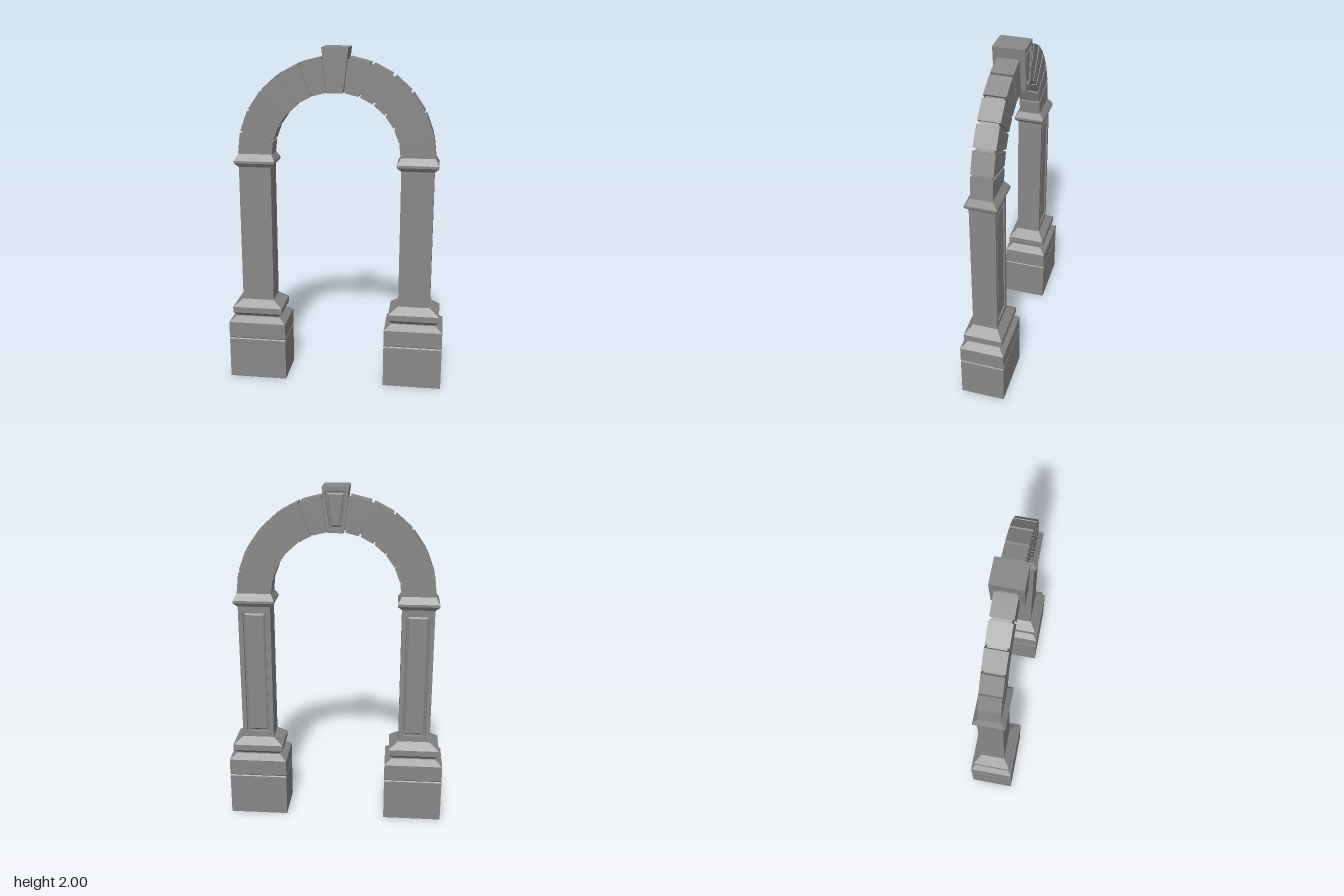
import * as THREE from 'three';

const material = new THREE.MeshStandardMaterial({ color: 0x888888, flatShading: true });

// Closed solid through a series of four-cornered rings, ordered counter-clockwise about the loft direction
function loft(name, rings) {
  const pos = [];
  const quad = (a, b, c, d) => pos.push(...a, ...b, ...c, ...a, ...c, ...d);
  for (let k = 0; k < rings.length - 1; k++) {
    const A = rings[k], B = rings[k + 1];
    for (let i = 0; i < 4; i++) {
      const j = (i + 1) % 4;
      quad(A[i], A[j], B[j], B[i]);
    }
  }
  quad(...[...rings[0]].reverse());
  quad(...rings[rings.length - 1]);
  const geometry = new THREE.BufferGeometry();
  geometry.setAttribute('position', new THREE.Float32BufferAttribute(pos, 3));
  geometry.computeVertexNormals();
  const mesh = new THREE.Mesh(geometry, material);
  mesh.name = name;
  return mesh;
}

// Stacked rectangular moulding; rows of [half width, half depth, y]
function moulding(name, rows) {
  return loft(name, rows.map(([w, d, y]) => [[-w, y, d], [w, y, d], [w, y, -d], [-w, y, -d]]));
}

// Trapezoid slab whose back face carries a sunken frame around a bevelled panel
function panelled(name, bottom, top, y0, y1, depth, insetX, insetY) {
  const ring = (s, z) => {
    const x = insetX + s, y = insetY + s;
    const slope = (top - bottom) / (y1 - y0);
    const b = bottom + slope * y - x, t = top - slope * y - x;
    return [[-b, y0 + y, z], [b, y0 + y, z], [t, y1 - y, z], [-t, y1 - y, z]];
  };
  const edge = z => [[-bottom, y0, z], [bottom, y0, z], [top, y1, z], [-top, y1, z]];
  const mesh = loft(name, [
    edge(-depth), edge(depth),
    ring(0, depth), ring(0.003, depth - 0.012),
    ring(0.008, depth - 0.012), ring(0.017, depth - 0.003),
  ]);
  mesh.rotation.y = Math.PI;
  return mesh;
}

// Wedge of the arch ring between two angles in degrees
const ARCH_Y = 1.38;
function wedge(name, a0, a1, rIn, rOut, depth) {
  const corner = (r, a, z) => {
    const t = THREE.MathUtils.degToRad(a);
    return [r * Math.cos(t), ARCH_Y + r * Math.sin(t), z];
  };
  const ring = z => [corner(rIn, a0, z), corner(rOut, a0, z), corner(rOut, a1, z), corner(rIn, a1, z)];
  return loft(name, [ring(-depth), ring(depth)]);
}

function createPillar(name, x) {
  const pillar = new THREE.Group();
  pillar.name = name;
  pillar.position.x = x;
  // Plinth with a shallow groove and sloped shoulder, then the base moulding
  pillar.add(moulding('plinth', [
    [0.173, 0.13, 0], [0.173, 0.13, 0.25], [0.168, 0.125, 0.256],
    [0.173, 0.13, 0.262], [0.173, 0.13, 0.358], [0.132, 0.095, 0.39],
  ]));
  pillar.add(moulding('baseMoulding', [
    [0.126, 0.09, 0.388], [0.126, 0.09, 0.394], [0.15, 0.113, 0.416],
    [0.15, 0.113, 0.452], [0.094, 0.073, 0.494],
  ]));
  pillar.add(panelled('shaft', 0.094, 0.094, 0.49, 1.32, 0.072, 0.026, 0.04));
  pillar.add(moulding('capital', [
    [0.095, 0.073, 1.315], [0.119, 0.089, 1.338], [0.119, 0.089, 1.352], [0.098, 0.062, 1.39],
  ]));
  return pillar;
}

export function createModel() {
  const model = new THREE.Group();
  model.name = 'stoneArch';
  model.add(createPillar('leftPillar', 0.471), createPillar('rightPillar', -0.471));

  // Six arch stones per side, with recessed mortar joints between them
  const arch = new THREE.Group();
  arch.name = 'arch';
  const step = 13.8, gap = 0.85;
  for (let i = 0; i < 6; i++) {
    const a0 = i === 0 ? 0 : i * step + gap, a1 = (i + 1) * step - gap;
    const j0 = a1 - 0.5, j1 = a1 + 2 * gap + 0.5;
    for (const mirror of [false, true]) {
      const span = (a, b) => (mirror ? [180 - b, 180 - a] : [a, b]);
      arch.add(wedge('archStone', ...span(a0, a1), 0.372, 0.571, 0.061));
      arch.add(wedge('mortarJoint', ...span(j0, j1), 0.385, 0.556, 0.05));
    }
  }
  model.add(arch);

  // Projecting keystone at the crown
  model.add(panelled('keystone', 0.045, 0.075, 1.75, 2, 0.088, 0.014, 0.025));
  return model;
}
